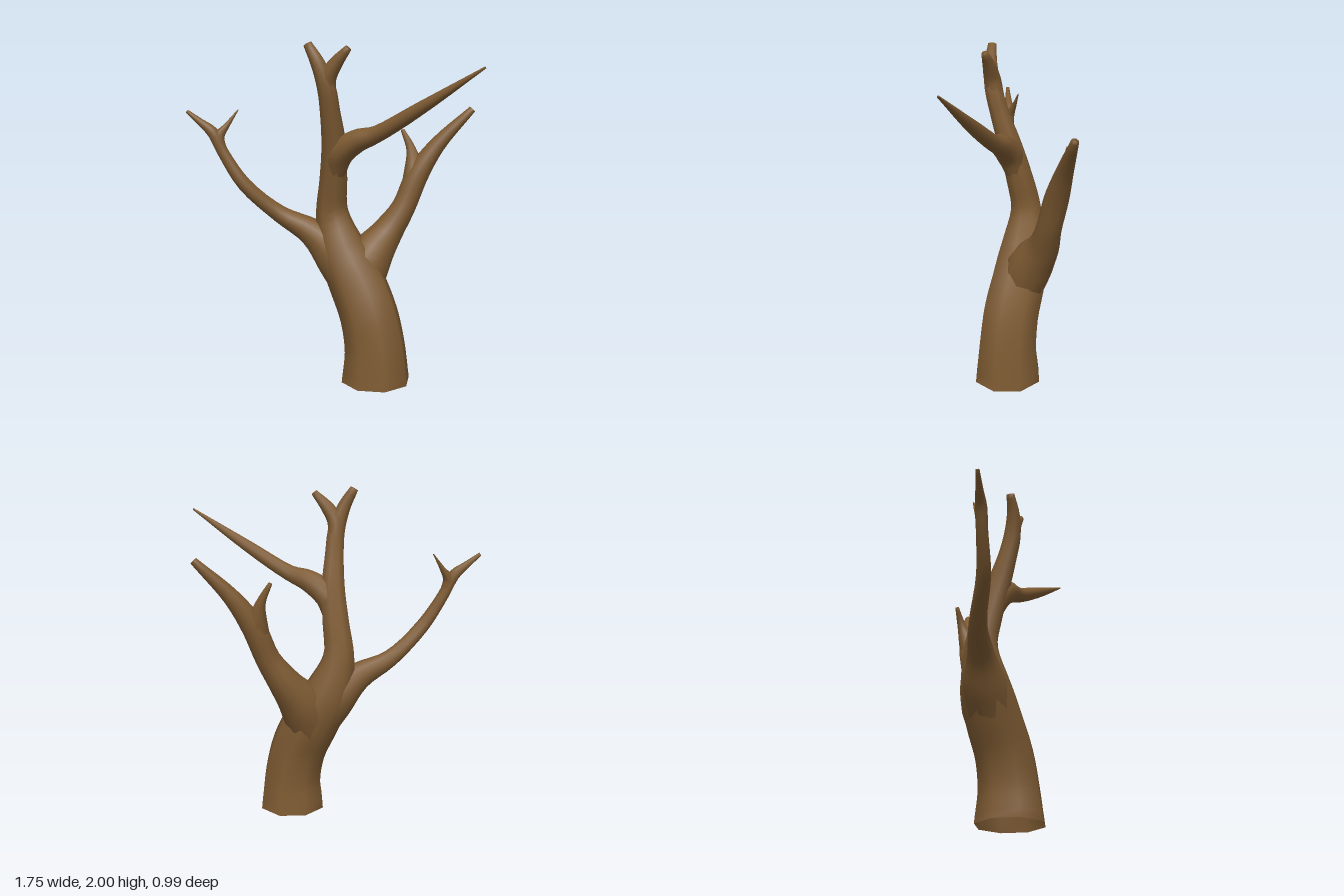
import * as THREE from 'three';

const bark = new THREE.MeshStandardMaterial({ color: 0x7d5a32, side: THREE.DoubleSide });
const UP = new THREE.Vector3(0, 1, 0);

// Sweeps a ring of changing radius along stations [x, y, z, radius]; the far end is closed.
function limb(name, stations, sides = 10, stepsPerSpan = 4) {
  const path = new THREE.CatmullRomCurve3(stations.map(([x, y, z]) => new THREE.Vector3(x, y, z)));
  const girth = new THREE.CatmullRomCurve3(stations.map((s, i) => new THREE.Vector3(s[3], i, 0)));
  const rings = (stations.length - 1) * stepsPerSpan;
  const positions = [];
  const index = [];
  const turn = new THREE.Quaternion();
  for (let i = 0; i <= rings; i++) {
    const t = i / rings;
    const centre = path.getPoint(t);
    const radius = girth.getPoint(t).x;
    turn.setFromUnitVectors(UP, path.getTangent(t));
    if (stations[0][1] === 0 && i === 0) turn.identity(); // level foot on the ground
    for (let j = 0; j < sides; j++) {
      const a = (j / sides) * Math.PI * 2;
      const p = new THREE.Vector3(Math.cos(a) * radius, 0, Math.sin(a) * radius);
      p.applyQuaternion(turn).add(centre);
      positions.push(p.x, p.y, p.z);
      if (i < rings) {
        const k = i * sides + j;
        const n = i * sides + ((j + 1) % sides);
        index.push(k, k + sides, n, n, k + sides, n + sides);
      }
    }
  }
  // Tip
  const end = path.getPoint(1);
  const tip = positions.length / 3;
  positions.push(end.x, end.y, end.z);
  for (let j = 0; j < sides; j++) {
    index.push(rings * sides + j, tip, rings * sides + ((j + 1) % sides));
  }
  const geometry = new THREE.BufferGeometry();
  geometry.setAttribute('position', new THREE.Float32BufferAttribute(positions, 3));
  geometry.setIndex(index);
  geometry.computeVertexNormals();
  const mesh = new THREE.Mesh(geometry, bark);
  mesh.name = name;
  return mesh;
}

export function createModel() {
  const tree = new THREE.Group();
  tree.name = 'bareTree';

  tree.add(
    // Trunk, open at the foot, running up into the central stem and its left-hand fork
    limb('trunk', [
      [0.19, 0, 0.05, 0.21], [0.185, 0.2, 0.05, 0.187], [0.14, 0.4, 0.047, 0.178],
      [0.04, 0.6, 0.035, 0.172], [-0.06, 0.78, 0.04, 0.15], [-0.12, 1.0, 0.05, 0.1],
      [-0.09, 1.2, 0.08, 0.085], [-0.055, 1.4, 0.125, 0.075], [-0.04, 1.6, 0.185, 0.06],
      [-0.04, 1.75, 0.225, 0.054], [-0.075, 1.88, 0.255, 0.042], [-0.135, 1.99, 0.27, 0.026],
    ], 8),
    limb('topFork', [
      [-0.04, 1.7, 0.21, 0.05], [-0.03, 1.8, 0.225, 0.05],
      [0.02, 1.88, 0.22, 0.04], [0.1, 1.965, 0.212, 0.02],
    ]),

    // Long tapering branch from the stem
    limb('longBranch', [
      [-0.06, 1.25, 0.1, 0.06], [-0.02, 1.36, 0.115, 0.08], [0.09, 1.44, 0.115, 0.07],
      [0.22, 1.485, 0.11, 0.05], [0.5, 1.638, 0.11, 0.037], [0.87, 1.855, 0.106, 0.006],
    ]),

    // Curved branch forward and to the -x side, with a twig
    limb('curvedBranch', [
      [0.0, 0.62, 0.04, 0.14], [-0.1, 0.76, 0.06, 0.135], [-0.23, 0.88, 0.115, 0.085],
      [-0.4, 0.985, 0.2, 0.053], [-0.56, 1.17, 0.335, 0.042], [-0.67, 1.36, 0.393, 0.034],
      [-0.725, 1.48, 0.42, 0.034], [-0.79, 1.54, 0.45, 0.022], [-0.865, 1.605, 0.485, 0.011],
    ]),
    limb('curvedBranchTwig', [
      [-0.67, 1.36, 0.393, 0.028], [-0.695, 1.45, 0.4, 0.032],
      [-0.665, 1.525, 0.355, 0.016], [-0.62, 1.615, 0.305, 0.003],
    ]),

    // Rear branch on the +x side, with a short twig
    limb('rearBranch', [
      [0.05, 0.55, 0.02, 0.14], [0.08, 0.72, -0.06, 0.138], [0.14, 0.86, -0.155, 0.1],
      [0.22, 1.02, -0.225, 0.074], [0.28, 1.22, -0.29, 0.07],
      [0.375, 1.4, -0.365, 0.05], [0.55, 1.615, -0.478, 0.022],
    ]),
    limb('rearBranchTwig', [
      [0.25, 1.12, -0.255, 0.06], [0.255, 1.25, -0.29, 0.058],
      [0.222, 1.37, -0.315, 0.03], [0.16, 1.487, -0.315, 0.012],
    ]),
  );
  return tree;
}
